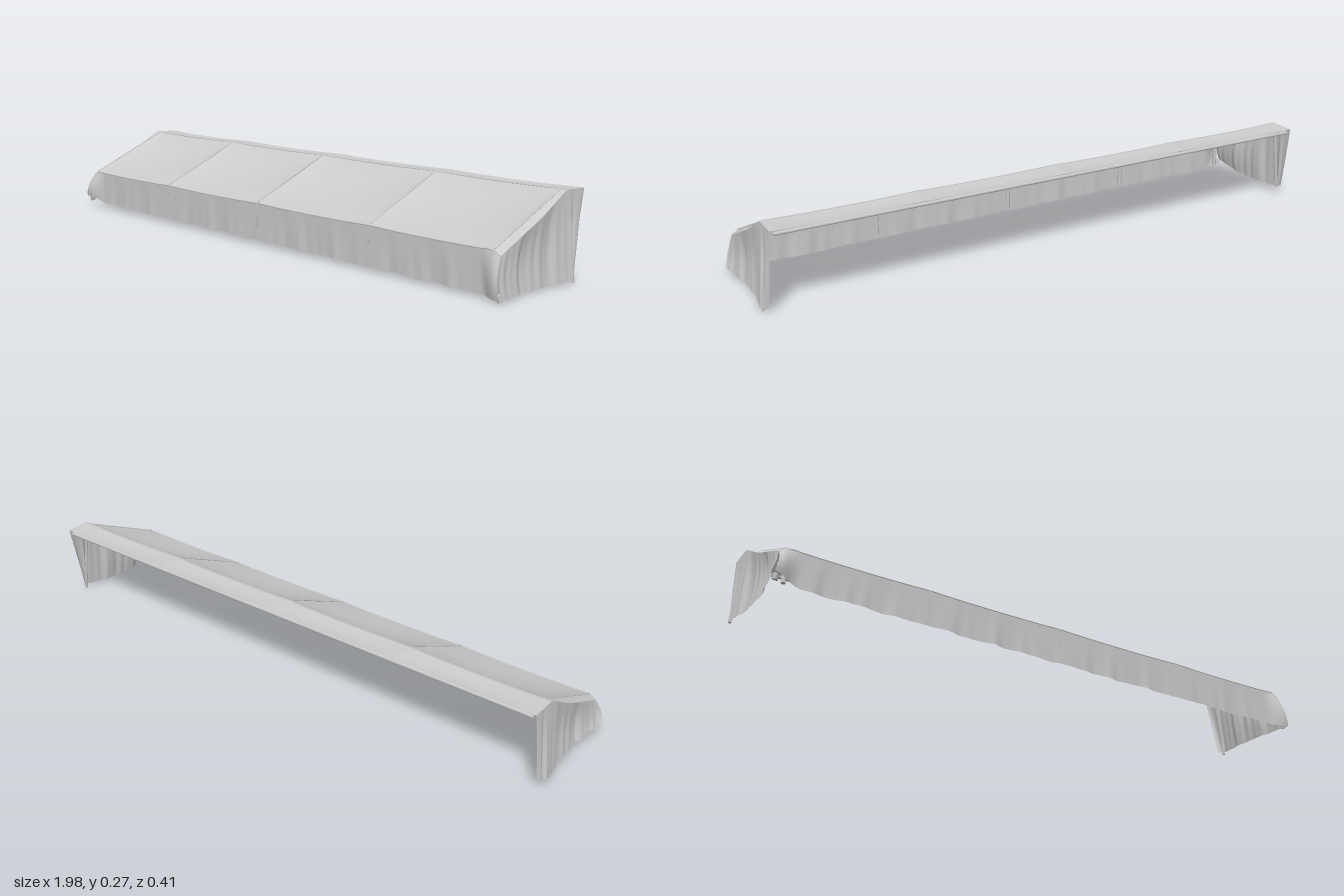
import * as THREE from 'three';
import { ParametricGeometry } from 'three/addons/geometries/ParametricGeometry.js';

const cloth = new THREE.MeshStandardMaterial({ color: 0xcccccc, side: THREE.DoubleSide });
const metal = new THREE.MeshStandardMaterial({ color: 0xcccccc });
const { lerp, smoothstep } = THREE.MathUtils;

// Rib positions along the awning, and the key edges of its cross-section [z, y]
const ribs = [-0.945, -0.49, -0.01, 0.49, 0.945];
const BACK = [-0.2, 0.266], RIDGE = [-0.117, 0.27], EAVE = [0.184, 0.14];

// 0 at each rib, rising quickly to 1 in the middle of each bay
function bay(x) {
  for (let i = 0; i < 4; i++) {
    if (x > ribs[i] && x < ribs[i + 1]) {
      return Math.pow(Math.sin(Math.PI * (x - ribs[i]) / (ribs[i + 1] - ribs[i])), 0.65);
    }
  }
  return 0;
}

const ripple = (t) => 0.5 * Math.sin(t * 41) + 0.3 * Math.sin(t * 73 + 1) + 0.2 * Math.sin(t * 127 + 2);

// Rounded bulge of the cloth at the front corners, v from eave to hem
const bulge = (v) => 0.023 * Math.sin(Math.PI * 0.68 * v);

// Height of the roof line above a given z
function roofY(z) {
  const [a, b] = z < RIDGE[0] ? [BACK, RIDGE] : [RIDGE, EAVE];
  return lerp(a[1], b[1], (z - a[0]) / (b[0] - a[0]));
}

// The cloth turns down where it passes over the outermost ribs
const droop = (x, z) => 0.014 * smoothstep(Math.abs(x), 0.945, 0.967) * smoothstep(z, -0.12, 0.02);

function sheet(name, nu, nv, fn) {
  const geometry = new ParametricGeometry(fn, nu, nv);
  geometry.computeVertexNormals();
  const mesh = new THREE.Mesh(geometry, cloth);
  mesh.name = name;
  return mesh;
}

function bar(name, a, b, radius) {
  const from = new THREE.Vector3(...a), dir = new THREE.Vector3(...b).sub(from);
  const mesh = new THREE.Mesh(new THREE.CylinderGeometry(radius, radius, dir.length(), 8), metal);
  mesh.name = name;
  mesh.position.copy(from).addScaledVector(dir, 0.5);
  mesh.quaternion.setFromUnitVectors(new THREE.Vector3(0, 1, 0), dir.normalize());
  return mesh;
}

// Roof cloth stretched over the ribs, sagging in every bay
function roofPanel(name, a, b, sag, nv) {
  return sheet(name, 256, nv, (u, v, p) => {
    const x = lerp(-0.967, 0.967, u), z = lerp(a[0], b[0], v);
    const dip = sag * Math.sin(Math.PI * Math.pow(v, 0.75));
    p.set(x, lerp(a[1], b[1], v) - bay(x) * (0.004 + dip) - droop(x, z), z);
  });
}

// Hanging front strip, rippling towards its hem and bulging at both ends
function valance() {
  return sheet('frontValance', 256, 12, (u, v, p) => {
    const x = lerp(-0.967, 0.967, u), s = bay(x);
    const hem = 0.011 + 0.012 * (1 - u) + 0.022 * smoothstep(-x, 0.88, 0.967) + 0.003 * ripple(x * 0.6);
    const z = EAVE[0] + bulge(v) * smoothstep(Math.abs(x), 0.89, 0.96)
      + v * (0.005 * ripple(x) * s + 0.002 - 0.003 * s);
    p.set(x * (1 + 0.016 * v), lerp(EAVE[1] - 0.004 * s - droop(x, EAVE[0]), hem, v), z);
  });
}

// End curtain: corners flare outwards, with a tapering flap behind the rear pole
function sideCurtain(side) {
  return sheet(side > 0 ? 'leftCurtain' : 'rightCurtain', 80, 14, (u, v, p) => {
    const rear = lerp(-0.2, side > 0 ? -0.148 : -0.167, v);
    const body = Math.min(1, u / 0.8), flap = Math.max(0, (u - 0.8) / 0.2);
    const z = flap ? lerp(-0.13, rear, flap) : lerp(EAVE[0] + bulge(v), -0.13, body);
    const topZ = flap ? lerp(-0.13, -0.2, flap) : lerp(EAVE[0], -0.13, body);
    const top = roofY(topZ) - droop(1, topZ);
    const bottom = (side > 0 ? 0.012 : lerp(0.042, 0.025, body) + 0.015 * flap)
      - 0.005 * Math.sin(Math.PI * body);
    const fold = 0.006 * ripple(u * 0.6 + side) * Math.sin(Math.PI * Math.min(1, v * 0.75 + 0.02));
    const flare = Math.pow(2 * body - 1, 2);
    const x = 0.967 + v * (0.002 + 0.022 * flare) - 0.008 * Math.sin(Math.PI * v) * Math.sin(Math.PI * body)
      + fold - 0.02 * flap * v;
    p.set(side * Math.min(1, x), lerp(top, bottom, v), z);
  });
}

function piping(name, points) {
  const curve = new THREE.CatmullRomCurve3(points);
  const mesh = new THREE.Mesh(new THREE.TubeGeometry(curve, points.length * 2, 0.002, 6), metal);
  mesh.name = name;
  return mesh;
}

export function createModel() {
  const model = new THREE.Group();
  model.name = 'awning';

  // Fabric
  model.add(
    roofPanel('rearRoofStrip', BACK, RIDGE, 0.004, 6),
    roofPanel('slopingRoof', RIDGE, EAVE, 0.022, 24),
    valance(), sideCurtain(1), sideCurtain(-1)
  );

  // Frame of ribs following the cross-section, each with a seam in the cloth above it
  const frame = new THREE.Group();
  frame.name = 'frame';
  const line = [[-0.192, 0.257], [-0.118, 0.26], [0.174, 0.132], [0.177, 0.03]];
  ribs.forEach((x) => {
    for (let i = 0; i < line.length - 1; i++) {
      frame.add(bar('rib', [x, line[i][1], line[i][0]], [x, line[i + 1][1], line[i + 1][0]], 0.007));
    }
    const seam = [];
    for (let i = 0; i <= 20; i++) {
      const z = lerp(RIDGE[0], EAVE[0], i / 20);
      seam.push(new THREE.Vector3(x, roofY(z), z));
    }
    seam.push(new THREE.Vector3(x, 0.08, EAVE[0] + 0.002), new THREE.Vector3(x, 0.03, EAVE[0] + 0.003));
    model.add(piping('ribSeam', seam));
  });

  // Long rails at the wall, under the ridge and along the eave
  for (const [name, z, y] of [['wallRail', -0.192, 0.253], ['ridgeRail', -0.118, 0.254], ['eaveRail', 0.172, 0.127]]) {
    frame.add(bar(name, [-0.955, y, z], [0.955, y, z], 0.006));
  }

  // Rear curtain poles and rolled front corners
  for (const s of [1, -1]) {
    const foot = s > 0 ? 0.002 : 0.025;
    frame.add(bar('rearPole', [s * 0.96, 0.25, -0.129], [s * 0.985, foot, -0.134], 0.005));
    frame.add(bar('cornerRoll', [s * 0.972, 0.02 + foot, 0.195], [s * 0.975, 0.002 + foot, 0.19], 0.009));
  }
  model.add(frame);

  // Piped seams along the ridge and the eave
  for (const [name, [z, y]] of [['ridgePiping', RIDGE], ['eavePiping', EAVE]]) {
    const points = [];
    for (let i = 0; i <= 64; i++) {
      const x = lerp(-0.965, 0.965, i / 64);
      points.push(new THREE.Vector3(x, y - 0.004 * bay(x) - droop(x, z), z));
    }
    model.add(piping(name, points));
  }
  return model;
}
